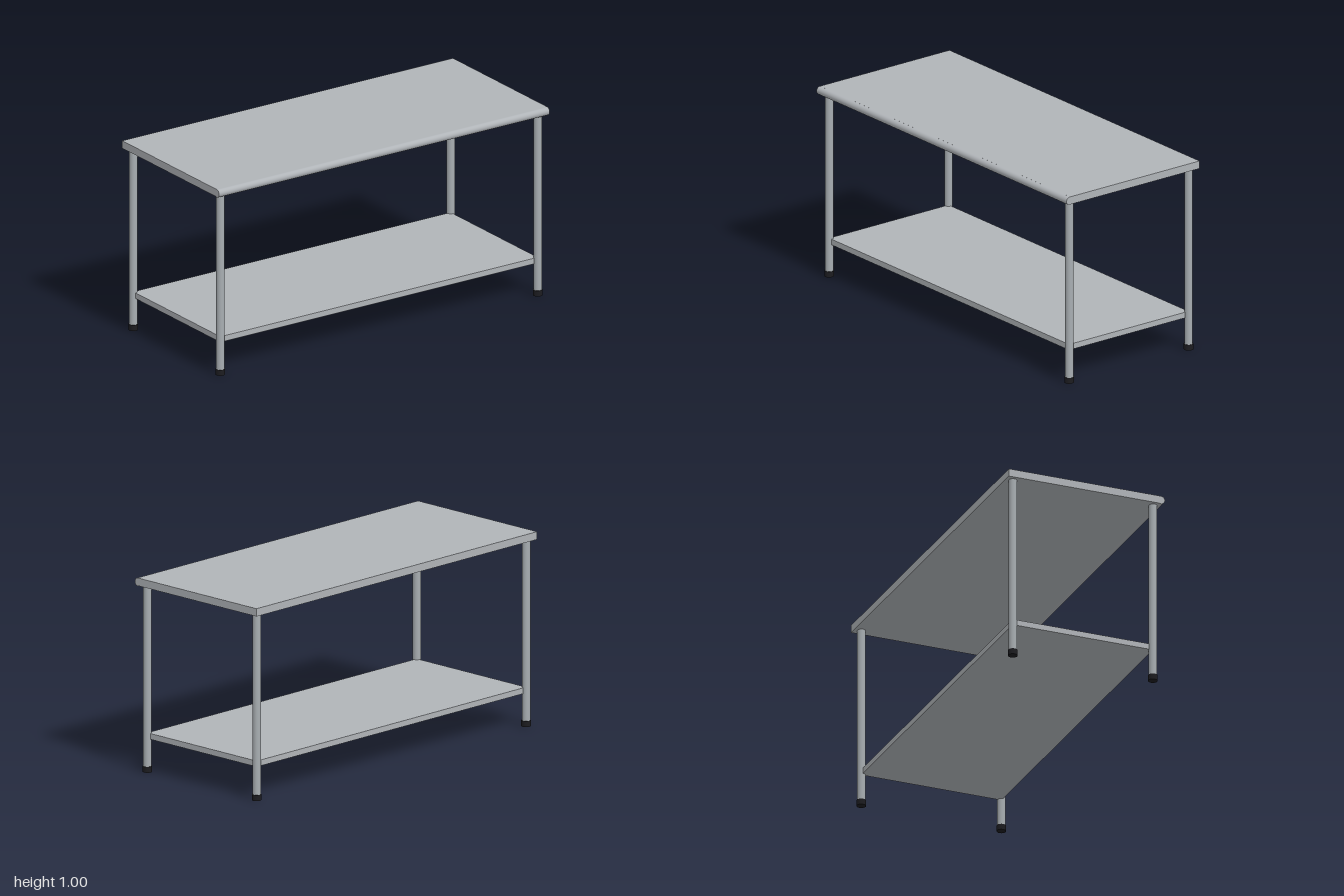
import * as THREE from 'three';

export function createModel() {
  const group = new THREE.Group();
  const steel = new THREE.MeshStandardMaterial({ name: 'brushed steel', color: 0xb0b4b8 });
  const legSteel = new THREE.MeshStandardMaterial({ name: 'leg steel', color: 0xa8aeb2 });
  const rubber = new THREE.MeshStandardMaterial({ name: 'black rubber', color: 0x1c1c20 });

  const add = (name, geometry, material, x, y, z) => {
    const mesh = new THREE.Mesh(geometry, material);
    mesh.name = name;
    mesh.position.set(x, y, z);
    group.add(mesh);
    return mesh;
  };

  // Worktop with a rolled front edge
  add('worktop', new THREE.BoxGeometry(2, 0.04, 0.82), steel, 0, 0.98, -0.01);
  const roll = new THREE.CylinderGeometry(0.021, 0.021, 2, 24).rotateZ(Math.PI / 2);
  add('frontRoll', roll, steel, 0, 0.979, 0.401);

  // Lower shelf, its corners set into the legs
  add('lowerShelf', new THREE.BoxGeometry(1.92, 0.03, 0.757), steel, 0, 0.185, -0.004);

  // Tubular legs with rubber feet
  const legGeometry = new THREE.CylinderGeometry(0.021, 0.021, 0.94, 16);
  const footGeometry = new THREE.CylinderGeometry(0.024, 0.024, 0.03, 16);
  for (const x of [-0.96, 0.96]) {
    for (const z of [0.374, -0.382]) {
      const place = (z > 0 ? 'front' : 'back') + (x > 0 ? 'Left' : 'Right');
      add(place + 'Leg', legGeometry, legSteel, x, 0.49, z);
      add(place + 'Foot', footGeometry, rubber, x, 0.015, z);
    }
  }
  return group;
}
